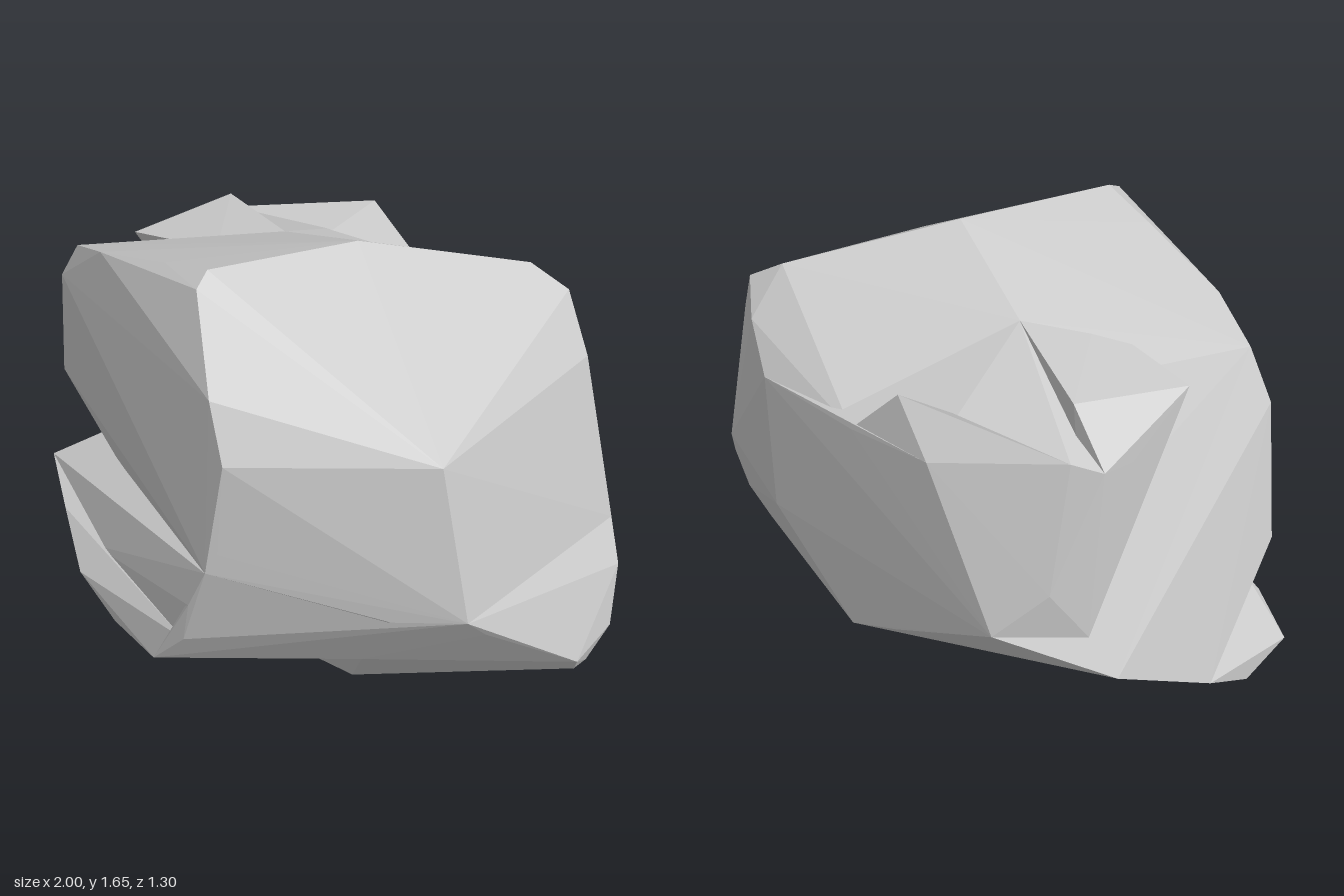
import * as THREE from 'three';
import { ConvexGeometry } from 'three/addons/geometries/ConvexGeometry.js';

// Corners that several chunks of the boulder share
const brow = [0, 1.4, 0.58];
const rightBrow = [0.61, 1.26, 0.39];
const nose = [0, 0.83, 0.65];
const noseRidge = [0.04, 0.91, 0.64];
const lip = [0.51, 0.7, 0.46];
const cheek = [0.72, 0.73, 0.39];
const chinUpper = [-0.08, 0.65, 0.63];
const chinMiddle = [-0.12, 0.47, 0.61];
const chinTip = [-0.27, 0.28, 0.57];
const chinBack = [0.34, 0.31, 0.29];
const hollow = [-0.3, 0.19, 0.2];
const ledgeTip = [-1, 0.5, 0.06];
const ledgeEnd = [-0.95, 0.4, -0.07];
const ledgeCrease = [-0.65, 0.42, 0.33];
const leftShoulder = [-0.75, 1.44, 0.11];
const leftTemple = [-0.84, 1.3, 0.09];
const leftWall = [-0.92, 0.88, 0.04];
const leftFoot = [-0.9, 0.48, -0.22];
const belly = [-0.52, 0.13, 0.02];
const base = [0, 0.01, 0.02];
const baseFront = [0.22, 0, 0.1];
const backRight = [0.92, 0.68, -0.32];
const backFlank = [0.63, 0.8, -0.46];
const backMiddle = [0.55, 0.67, -0.5];
const backLow = [0.26, 0.3, -0.5];
const backKeel = [0.03, 0.44, -0.55];
const backHeel = [-0.41, 0.74, -0.65];
const backUpper = [-0.2, 1.27, -0.65];
const backGap = [0.1, 1.23, -0.61];
const backLedge = [-0.56, 1.33, -0.5];
const backCorner = [-0.64, 1.31, -0.46];
const grooveFoot = [-0.64, 0.75, -0.5];
const cragTop = [-0.19, 1.48, -0.2];
const cragNotch = [-0.34, 1.46, -0.04];
const summit = [-0.13, 1.65, 0.35];
const summitFront = [-0.13, 1.62, 0.41];

const chunks = {
  // main mass: top slope, side walls and underside
  boulderBody: [
    summit, summitFront, [-0.3, 1.6, 0.3], [0.14, 1.62, -0.03],
    [0.55, 1.49, -0.36], [0.67, 1.42, -0.38], [0.6, 1.35, -0.03],
    brow, rightBrow, cheek,
    [0.77, 1.25, -0.32], [0.58, 1.35, -0.48], [0.83, 0.98, -0.29], backRight,
    [0.47, 1.23, -0.56], [0.53, 1.03, -0.51], backFlank, backMiddle,
    [-0.59, 1.51, 0.21], leftShoulder, leftTemple, cragTop, cragNotch,
    backGap, backHeel, [-0.73, 0.62, -0.48], backKeel, backLow,
    leftWall, leftFoot, belly, base, baseFront, hollow,
  ],
  // bulge of the back face
  backBulge: [
    cragTop, backGap, backUpper, backLedge, backCorner, [-0.55, 0.91, -0.57],
    grooveFoot, backHeel, backKeel, [0.47, 1.23, -0.56], [0, 0.8, 0],
  ],
  // overhanging front with the vertical ridge
  frontOverhang: [
    summit, summitFront, brow, [0.07, 1.24, 0.64], nose,
    noseRidge, [0.43, 0.96, 0.45], lip, cheek, rightBrow,
    leftWall, leftFoot, hollow, leftShoulder, leftTemple,
  ],
  // broad slanted face under the overhang
  frontChin: [nose, noseRidge, chinUpper, chinMiddle, chinTip, hollow, cheek, chinBack],
  // steep upper part of the side ledge
  ledgeSlope: [
    ledgeTip, ledgeEnd, leftFoot, nose, chinUpper, chinMiddle, ledgeCrease, hollow, belly,
  ],
  // flatter rim of the side ledge
  ledgeRim: [
    ledgeTip, ledgeEnd, ledgeCrease, chinMiddle, chinTip,
    [-0.48, 0.27, 0.48], [-0.65, 0.37, 0.42], [-0.82, 0.46, 0.25], hollow, belly,
  ],
  // wide foot on the other side
  lowerFoot: [
    [0.75, 0.63, 0.31], cheek, [0.96, 0.33, 0], [1, 0.34, -0.2], [0.98, 0.55, -0.26],
    [0.95, 0.19, -0.16], [0.92, 0.15, -0.14], backRight, backFlank, backMiddle,
    backLow, base, baseFront, hollow, chinBack,
  ],
  // small crag on the upper back edge
  backCrag: [
    [-0.08, 1.42, -0.61], backGap, backLedge, backUpper, [-0.2, 1.32, -0.48], [-0.4, 1.1, -0.5],
  ],
  // fin on the upper corner, parted from the side wall by a groove
  cornerCrag: [
    cragTop, cragNotch, [-0.68, 1.4, -0.1], [-0.655, 1.28, -0.34],
    backCorner, [-0.5, 1.44, -0.4], grooveFoot, [-0.3, 1, -0.2],
  ],
};

export function createModel() {
  const group = new THREE.Group();
  group.name = 'boulder';
  const stone = new THREE.MeshStandardMaterial({ color: 0xcccccc, flatShading: true });
  for (const [name, corners] of Object.entries(chunks)) {
    const points = corners.map((c) => new THREE.Vector3(...c));
    const mesh = new THREE.Mesh(new ConvexGeometry(points), stone);
    mesh.name = name;
    group.add(mesh);
  }
  return group;
}
